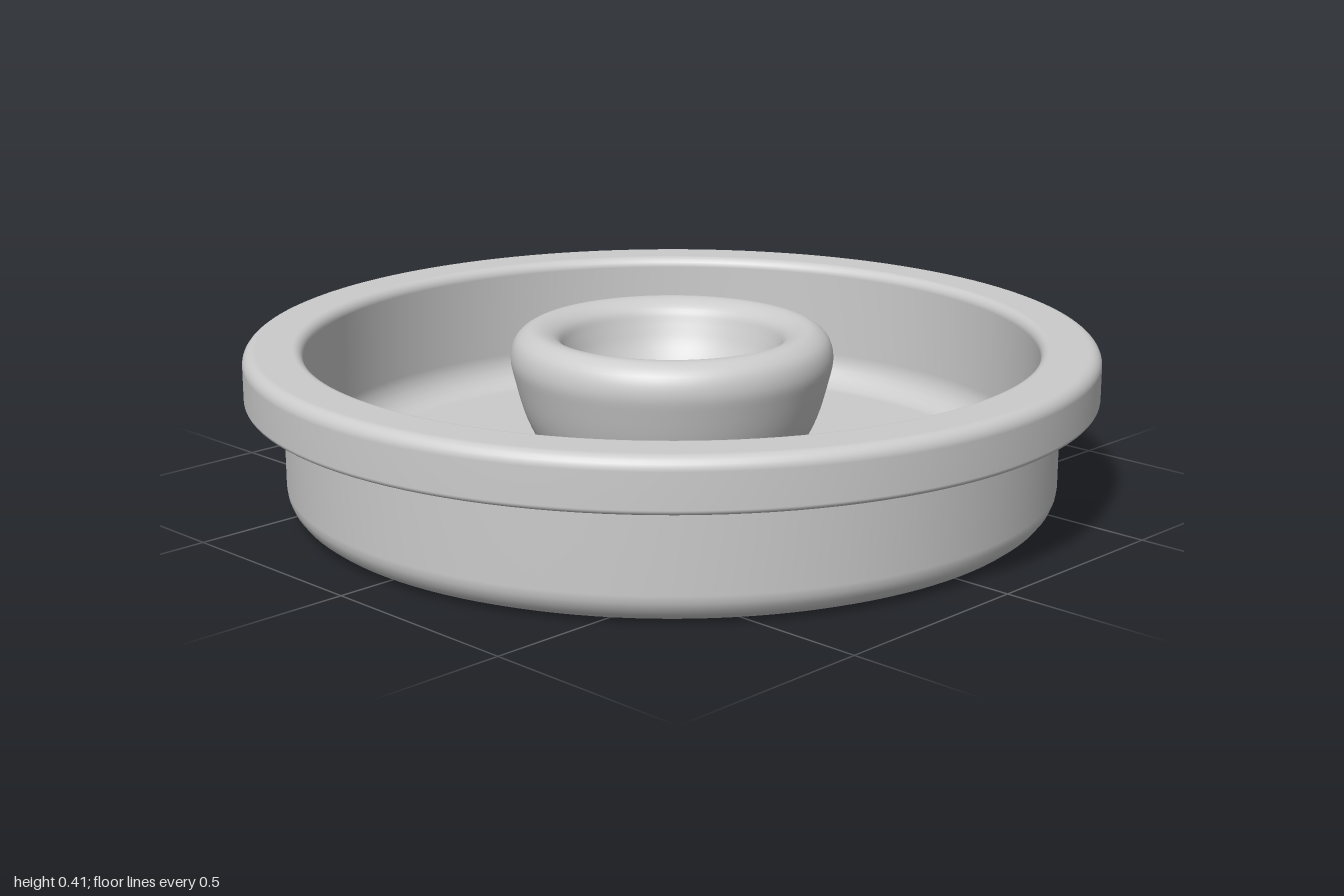
import * as THREE from 'three';

const material = new THREE.MeshStandardMaterial({ color: 0xcccccc });

// Turns corners [x, y, radius] into a profile with circular fillets; radius 0 keeps a sharp edge.
function filletProfile(corners, steps = 6) {
  const out = [];
  corners.forEach(([x, y, r], i) => {
    const p = new THREE.Vector2(x, y);
    if (i === 0 || i === corners.length - 1) { out.push(p); return; }
    if (!r) { out.push(p, p.clone()); return; }
    const toPrev = new THREE.Vector2(corners[i - 1][0], corners[i - 1][1]).sub(p).normalize();
    const toNext = new THREE.Vector2(corners[i + 1][0], corners[i + 1][1]).sub(p).normalize();
    const half = Math.acos(toPrev.dot(toNext)) / 2;
    const bisector = toPrev.clone().add(toNext).normalize();
    const centre = p.clone().addScaledVector(bisector, r / Math.sin(half));
    const sweep = (Math.PI / 2 - half) * Math.sign(toPrev.cross(toNext));
    for (let k = 0; k <= steps; k++) {
      const arm = bisector.clone().multiplyScalar(-r);
      arm.rotateAround(new THREE.Vector2(), sweep * (1 - 2 * k / steps));
      out.push(centre.clone().add(arm));
    }
  });
  return out;
}

function turned(name, points) {
  const mesh = new THREE.Mesh(new THREE.LatheGeometry(points, 128), material);
  mesh.name = name;
  return mesh;
}

export function createModel() {
  const group = new THREE.Group();
  group.name = 'recessedLid';

  // Plug body, overhanging rim and recessed floor
  group.add(turned('lidBody', filletProfile([
    [0, 0, 0],
    [0.91, 0, 0.07],
    [0.91, 0.27, 0],
    [1, 0.27, 0.012],
    [1, 0.392, 0.03],
    [0.86, 0.392, 0.025],
    [0.86, 0.075, 0.08],
    [0, 0.075, 0],
  ])));

  // Flared central knob with a broad rounded lip and a dished top
  const knobCurve = new THREE.SplineCurve([
    [0.25, 0.07], [0.305, 0.13], [0.345, 0.205], [0.371, 0.295], [0.38, 0.345],
    [0.368, 0.387], [0.335, 0.411], [0.3, 0.409], [0.268, 0.39], [0.252, 0.355],
    [0.228, 0.305], [0.18, 0.25], [0.1, 0.207], [0, 0.193],
  ].map(([x, y]) => new THREE.Vector2(x, y)));
  const knobPoints = knobCurve.getPoints(52);
  knobPoints[52].x = 0;
  group.add(turned('knob', knobPoints));

  return group;
}
